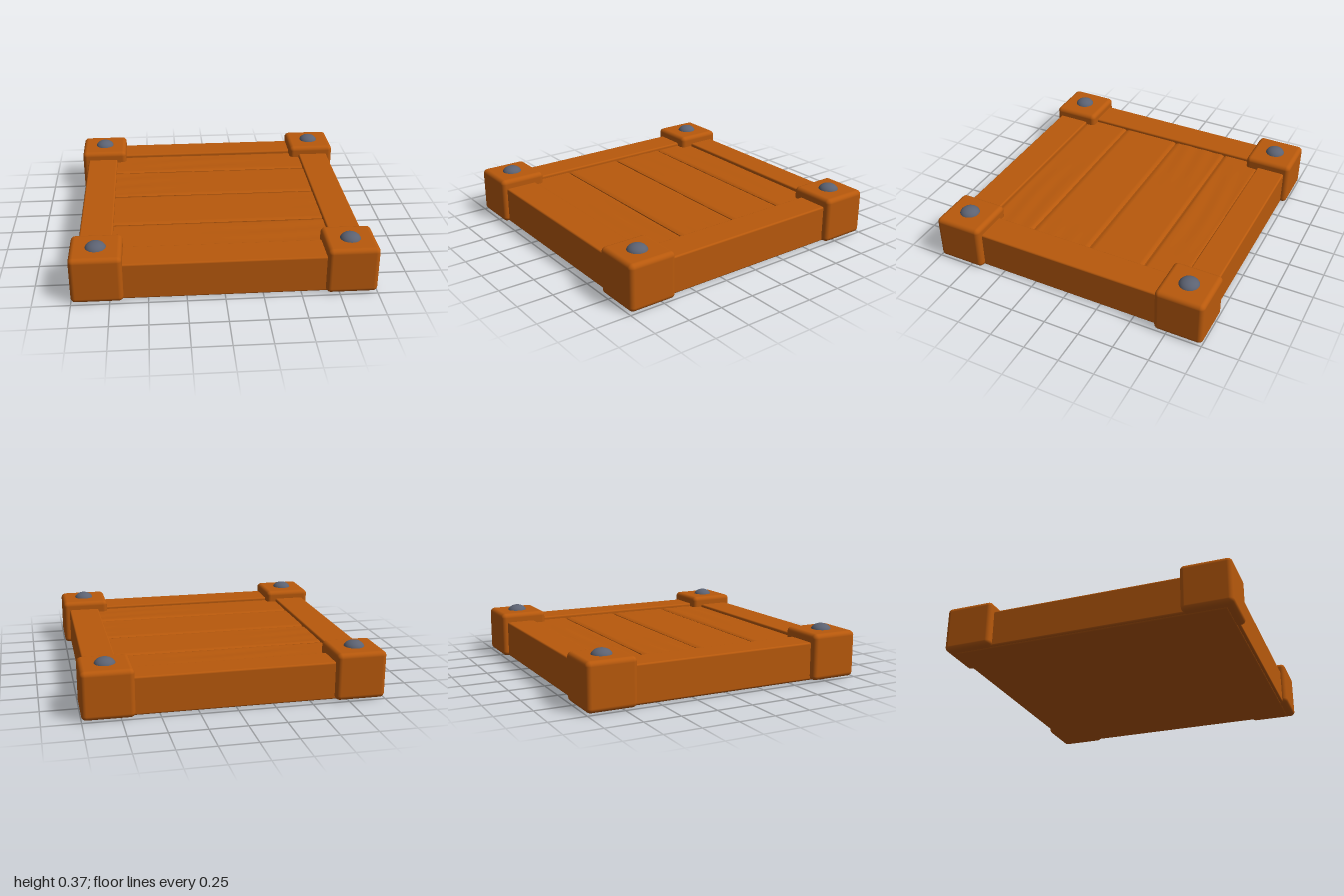
import * as THREE from 'three';
import { RoundedBoxGeometry } from 'three/addons/geometries/RoundedBoxGeometry.js';

const wood = new THREE.MeshStandardMaterial({ color: 0xb8590c });
wood.name = 'warm wood';
const iron = new THREE.MeshStandardMaterial({ color: 0x5c6272 });
iron.name = 'grey iron';

export function createModel() {
  const model = new THREE.Group();
  model.name = 'woodenPlatform';

  const add = (name, geometry, material, x, y, z) => {
    const mesh = new THREE.Mesh(geometry, material);
    mesh.name = name;
    mesh.position.set(x, y, z);
    model.add(mesh);
    return mesh;
  };

  // Rounded beam given by its limits on each axis
  const beam = (name, [x0, x1], [y0, y1], [z0, z1], radius) =>
    add(name, new RoundedBoxGeometry(x1 - x0, y1 - y0, z1 - z0, 4, radius), wood,
      (x0 + x1) / 2, (y0 + y1) / 2, (z0 + z1) / 2);

  // Plank with shallow grain waves on its top and softened long edges
  const plank = (name, z0, z1, seed) => {
    const width = 1.5, height = 0.2, depth = z1 - z0;
    const geometry = new THREE.BoxGeometry(width, height, depth, 40, 1, 24);
    const p = geometry.attributes.position;
    for (let i = 0; i < p.count; i++) {
      if (p.getY(i) < 0) continue;
      const x = p.getX(i), z = p.getZ(i);
      const grain = Math.sin(z * 45 + Math.sin(x * 3 + seed) * 1.5 + seed * 2);
      const patch = Math.max(0, Math.sin(x * 2.5 + seed * 1.7));
      const edge = Math.max(0, 1 - (depth / 2 - Math.abs(z)) / 0.02);
      p.setY(i, height / 2 + 0.0015 * grain * patch - 0.008 * edge * edge);
    }
    geometry.computeVertexNormals();
    add(name, geometry, wood, 0, 0.145, (z0 + z1) / 2);
  };

  // Underside panel
  beam('bottomPanel', [-0.94, 0.94], [0, 0.06], [-0.94, 0.94], 0.012);

  // Deck planks with narrow gaps
  const seams = [-0.76, -0.46, -0.05, 0.39, 0.735];
  for (let i = 0; i < 4; i++) plank('deckPlank' + (i + 1), seams[i] + 0.004, seams[i + 1] - 0.004, i + 1);

  // Frame rails
  beam('backRail', [-0.8, 0.8], [0.008, 0.264], [-0.96, -0.752], 0.012);
  beam('frontRail', [-0.8, 0.8], [0.008, 0.264], [0.725, 0.96], 0.012);
  for (const side of [-1, 1]) {
    const limits = side < 0 ? [-0.955, -0.73] : [0.73, 0.955];
    beam(side < 0 ? 'rightRail' : 'leftRail', limits, [0.008, 0.268], [-0.8, 0.8], 0.012);
  }

  // Corner blocks, each capped by a domed rivet
  const dome = new THREE.SphereGeometry(0.07, 32, 12, 0, Math.PI * 2, 0, Math.PI / 2);
  for (const sx of [-1, 1]) {
    for (const sz of [-1, 1]) {
      const corner = (sz < 0 ? 'back' : 'front') + (sx < 0 ? 'Right' : 'Left');
      beam(corner + 'Block', sx < 0 ? [-1, -0.66] : [0.66, 1], [0.006, 0.328],
        sz < 0 ? [-1, -0.66] : [0.655, 0.995], 0.032);
      add(corner + 'Rivet', dome, iron, sx * 0.83, 0.317, sz * 0.83).scale.y = 0.7;
    }
  }

  return model;
}
